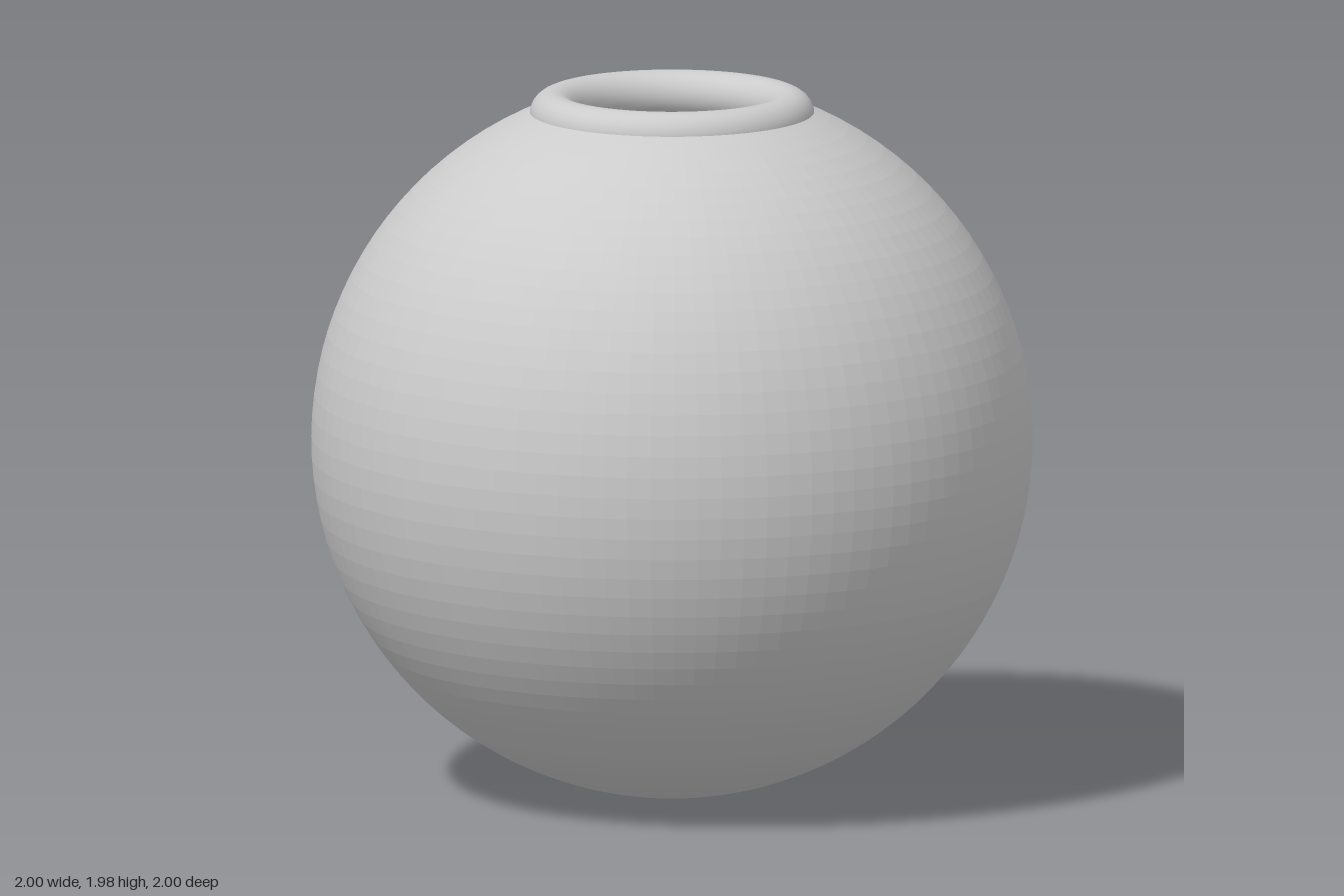
import * as THREE from 'three';

const SEGMENTS = 96;
const RIM_RADIUS = 0.33;
const RIM_TUBE = 0.065;

export function createModel() {
  const group = new THREE.Group();
  group.name = 'roundVase';

  // Hollow spherical body, open at the top under the rim
  const opening = Math.asin(RIM_RADIUS);
  const body = new THREE.Mesh(
    new THREE.SphereGeometry(1, SEGMENTS, 48, 0, Math.PI * 2, opening, Math.PI - opening),
    new THREE.MeshStandardMaterial({ color: 0xcccccc, flatShading: true, side: THREE.DoubleSide })
  );
  body.name = 'body';
  body.position.y = 1;
  group.add(body);

  // Rounded rim around the mouth
  const rim = new THREE.Mesh(
    new THREE.TorusGeometry(RIM_RADIUS, RIM_TUBE, 24, SEGMENTS),
    new THREE.MeshStandardMaterial({ color: 0xcccccc })
  );
  rim.name = 'rim';
  rim.rotation.x = Math.PI / 2;
  rim.position.y = 1.912;
  group.add(rim);

  return group;
}
